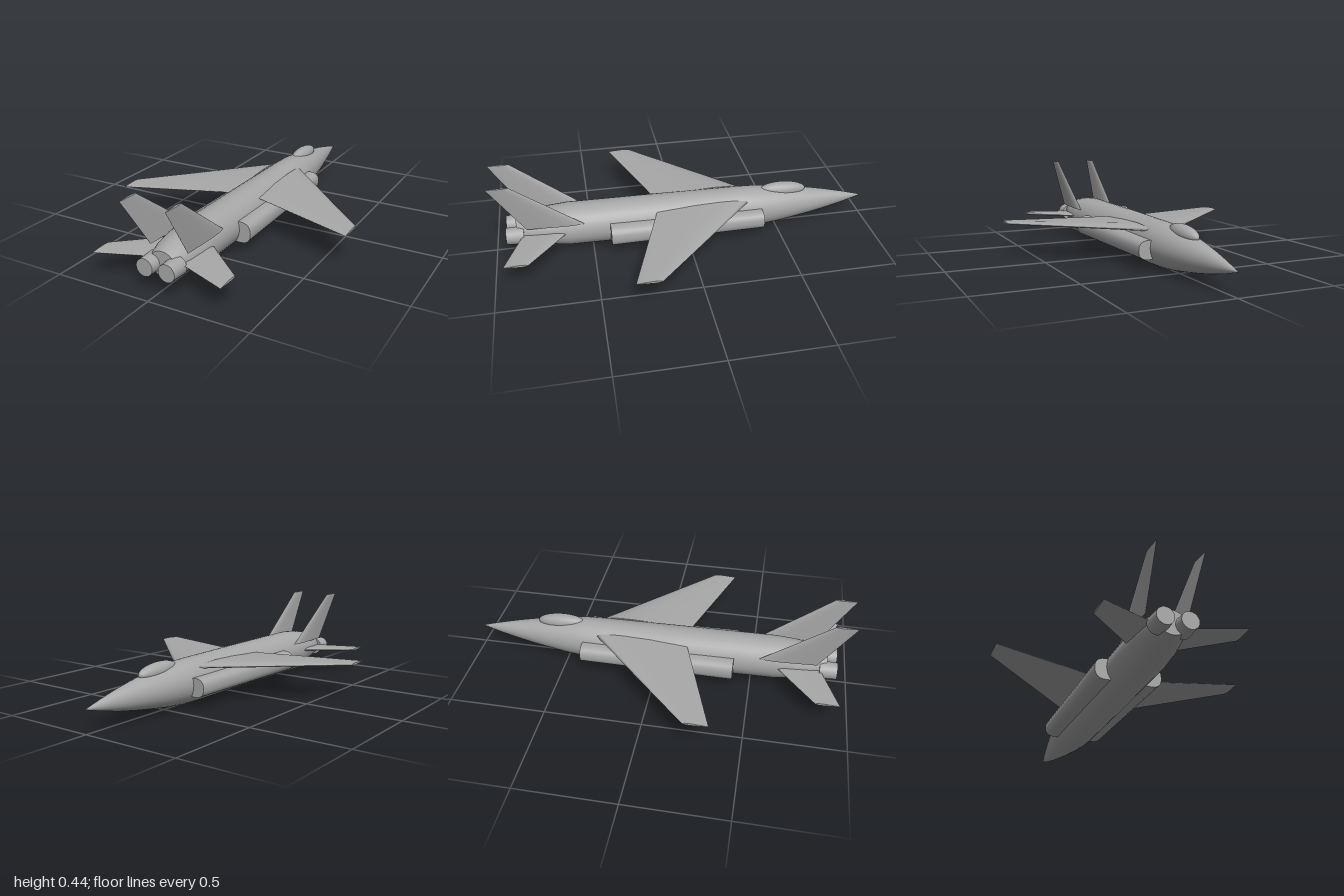
import * as THREE from 'three';

const V = (x, y, z) => new THREE.Vector3(x, y, z);

// Closed skin through a row of equal-length rings, with flat end caps
function loft(rings) {
  const n = rings[0].length, pos = [], idx = [];
  const put = p => pos.push(p.x, p.y, p.z) / 3 - 1;
  rings.forEach(r => r.forEach(put));
  for (let i = 0; i < rings.length - 1; i++) {
    for (let j = 0; j < n; j++) {
      const a = i * n + j, b = i * n + (j + 1) % n;
      idx.push(a, b, a + n, b, b + n, a + n);
    }
  }
  [rings[0], rings[rings.length - 1]].forEach((ring, end) => {
    const mid = ring.reduce((s, p) => s.add(p), V(0, 0, 0)).divideScalar(n);
    const c = put(mid), first = c + 1;
    ring.forEach(put);
    for (let j = 0; j < n; j++) {
      const a = first + j, b = first + (j + 1) % n;
      if (end) idx.push(c, a, b); else idx.push(c, b, a);
    }
  });
  // Turn the skin outwards if its volume comes out negative
  const at = i => V(pos[i * 3], pos[i * 3 + 1], pos[i * 3 + 2]);
  let volume = 0;
  for (let i = 0; i < idx.length; i += 3) {
    volume += at(idx[i]).dot(at(idx[i + 1]).cross(at(idx[i + 2])));
  }
  if (volume < 0) idx.reverse();
  const geo = new THREE.BufferGeometry();
  geo.setAttribute('position', new THREE.Float32BufferAttribute(pos, 3));
  geo.setIndex(idx);
  geo.computeVertexNormals();
  return geo;
}

// Rounded cross-section; power below 1 makes it squarer
function oval(cx, rx, top, bottom, z, n, power = 1) {
  const soft = v => Math.sign(v) * Math.pow(Math.abs(v), power);
  return Array.from({ length: n }, (_, i) => {
    const a = (i / n) * Math.PI * 2;
    return V(cx + rx * soft(Math.cos(a)),
      (top + bottom) / 2 + (top - bottom) / 2 * soft(Math.sin(a)), z);
  });
}

// Airfoil outline: fraction of chord, fraction of half thickness
const FOIL = [[0, 0], [0.04, 0.45], [0.14, 0.85], [0.3, 1], [0.6, 0.7], [1, 0.12],
  [1, -0.12], [0.6, -0.7], [0.3, -1], [0.14, -0.85], [0.04, -0.45]];

// Surface between two stations {x, y, lead, trail, half}
function surface(root, tip, upright, side) {
  return loft([root, tip].map(s => FOIL.map(([t, h]) => {
    const z = s.lead + (s.trail - s.lead) * t, d = h * s.half;
    return upright ? V(side * (s.x + d), s.y, z) : V(side * s.x, s.y + d, z);
  })));
}

export function createModel() {
  const model = new THREE.Group();
  model.name = 'jetAircraft';
  const grey = new THREE.MeshStandardMaterial({ color: 0xa8a8a8 });
  grey.name = 'airframe grey';
  const add = (name, geo) => {
    const mesh = new THREE.Mesh(geo, grey);
    mesh.name = name;
    model.add(mesh);
    return mesh;
  };

  // Fuselage stations: z, half width, top, bottom
  const stations = [
    [-1, 0.001, 0.112, 0.11], [-0.9, 0.024, 0.139, 0.083], [-0.8, 0.044, 0.163, 0.06],
    [-0.7, 0.064, 0.183, 0.042], [-0.6, 0.081, 0.2, 0.027], [-0.5, 0.096, 0.214, 0.013],
    [-0.4, 0.106, 0.224, 0.004], [-0.3, 0.109, 0.227, 0.001], [0.1, 0.111, 0.232, 0.004],
    [0.62, 0.113, 0.236, 0.012], [0.72, 0.109, 0.226, 0.03],
    [0.8, 0.097, 0.212, 0.048], [0.85, 0.083, 0.199, 0.059], [0.885, 0.068, 0.188, 0.067]];
  add('fuselage', loft(stations.map(([z, rx, top, bottom]) => oval(0, rx, top, bottom, z, 32))));

  // Canopy bubble
  const canopy = add('canopy', new THREE.SphereGeometry(1, 32, 20));
  canopy.scale.set(0.04, 0.04, 0.127);
  canopy.position.set(0, 0.202, -0.54);
  canopy.rotation.x = -0.05;

  for (const side of [1, -1]) {
    const label = side > 0 ? 'left' : 'right';

    // Intake trunk along the flank
    add(label + 'Intake', loft([
      oval(side * 0.112, 0.054, 0.152, 0.057, -0.4, 24, 0.8),
      oval(side * 0.114, 0.058, 0.163, 0.053, 0.41, 24, 0.8)]));

    // Swept main wing
    add(label + 'Wing', surface(
      { x: 0.075, y: 0.188, lead: -0.33, trail: 0.16, half: 0.017 },
      { x: 0.632, y: 0.178, lead: 0.22, trail: 0.345, half: 0.006 }, false, side));

    // Horizontal tail
    add(label + 'Tailplane', surface(
      { x: 0.08, y: 0.131, lead: 0.612, trail: 0.852, half: 0.011 },
      { x: 0.336, y: 0.13, lead: 0.83, trail: 0.95, half: 0.006 }, false, side));

    // Upright fin, leaning slightly outwards
    add(label + 'Fin', surface(
      { x: 0.1, y: 0.178, lead: 0.54, trail: 0.83, half: 0.011 },
      { x: 0.116, y: 0.441, lead: 0.89, trail: 1, half: 0.006 }, true, side));

    // Engine nozzle
    const nozzle = add(label + 'Nozzle', new THREE.CylinderGeometry(0.043, 0.047, 0.09, 24));
    nozzle.rotation.x = Math.PI / 2;
    nozzle.position.set(side * 0.058, 0.12, 0.893);
  }
  return model;
}
